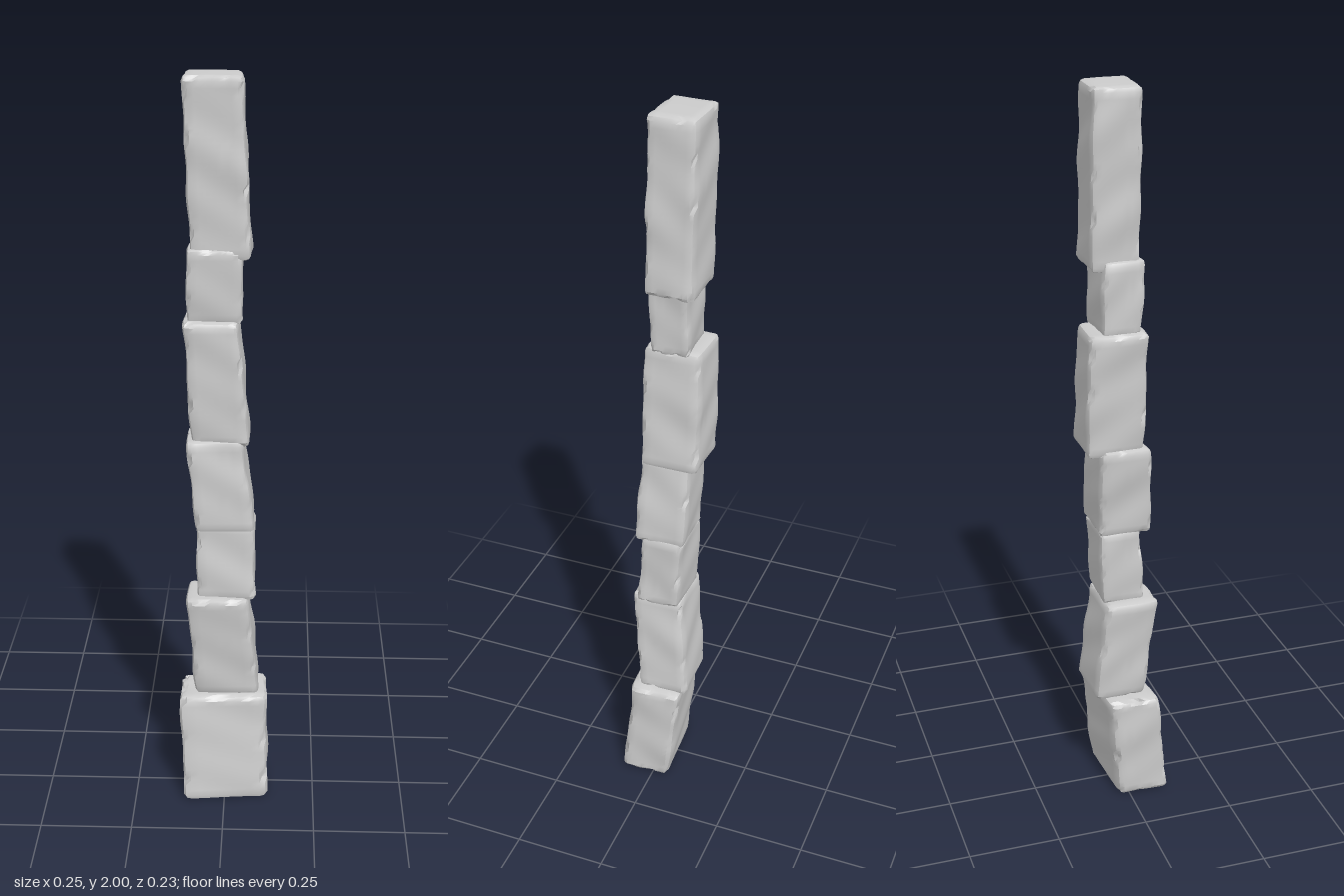
import * as THREE from 'three';
import { toCreasedNormals } from 'three/addons/utils/BufferGeometryUtils.js';

// Each stone: [y0, y1, bottom [x0, x1, z0, z1], top [x0, x1, z0, z1], skew of z along x]
const STONES = [
  ['baseStone', 0.0, 0.312, [-0.112, 0.122, -0.04, 0.105], [-0.127, 0.115, -0.072, 0.075], -0.09],
  ['secondStone', 0.305, 0.61, [-0.082, 0.095, -0.093, 0.05], [-0.105, 0.065, -0.066, 0.083], -0.03],
  ['thirdStone', 0.6, 0.82, [-0.076, 0.082, -0.064, 0.055], [-0.08, 0.08, -0.074, 0.043], 0.03],
  ['fourthStone', 0.805, 1.06, [-0.077, 0.082, -0.077, 0.068], [-0.105, 0.047, -0.08, 0.06], -0.04],
  ['fifthStone', 1.042, 1.382, [-0.09, 0.066, -0.111, 0.048], [-0.11, 0.035, -0.106, 0.052], 0.03],
  ['sixthStone', 1.37, 1.57, [-0.1, 0.043, -0.074, 0.03], [-0.1, 0.047, -0.07, 0.042], -0.04],
  ['topStone', 1.54, 2.0, [-0.09, 0.068, -0.096, 0.034], [-0.11, 0.044, -0.095, 0.034], 0.04],
];

// Smooth repeatable wobble in the range -1..1
const wobble = (x, y, z, s) =>
  (Math.sin(23 * x + 31 * y + s * 1.7) + Math.sin(37 * z - 22 * y + s * 2.9) + Math.sin(29 * (x - z) + 47 * y + s)) / 3;

// Moves the grid lines so the outermost cell is exactly as wide as the worn edge
function gridLine(p, half, r, n) {
  const k = Math.round((p / half) * (n / 2));
  return Math.abs(k) === n / 2 ? Math.sign(k) * half : (k / (n / 2 - 1)) * (half - r);
}

// A worn block: rounded edges, leaning between two rectangles, uneven faces, nicked edges
function stoneGeometry(y0, y1, bottom, top, skew, seed) {
  const h = y1 - y0;
  const ny = 2 * Math.round(h * 26) + 4;
  const size = [0.15, h, 0.14], segs = [10, ny, 10], r = 0.014;
  const geo = new THREE.BoxGeometry(...size, ...segs);
  const pos = geo.attributes.position;
  const p = new THREE.Vector3(), inner = new THREE.Vector3(), d = new THREE.Vector3();
  for (let i = 0; i < pos.count; i++) {
    p.fromBufferAttribute(pos, i);
    let outer = 0;
    ['x', 'y', 'z'].forEach((a, k) => {
      const half = size[k] / 2;
      p[a] = gridLine(p[a], half, r, segs[k]);
      inner[a] = THREE.MathUtils.clamp(p[a], r - half, half - r);
      if (Math.abs(p[a]) > half - 1e-6) outer++;
    });
    // Round the edge, then chip it here and there
    d.subVectors(p, inner).normalize();
    const nick = outer > 1 ? Math.max(0, wobble(p.x * 3, p.y * 2.3, p.z * 3, seed + 4) - 0.25) * 0.014 : 0;
    p.copy(inner).addScaledVector(d, r - nick);
    const bump = wobble(p.x, p.y, p.z, seed) * 0.004 - 0.001;
    // Fit between the bottom and top rectangles
    const t = p.y / h + 0.5, u = p.x / size[0] + 0.5, v = p.z / size[2] + 0.5;
    const e = bottom.map((b, k) => THREE.MathUtils.lerp(b, top[k], t));
    const x = THREE.MathUtils.lerp(e[0], e[1], u);
    const z = THREE.MathUtils.lerp(e[2], e[3], v) + skew * (x - (e[0] + e[1]) / 2);
    pos.setXYZ(i, x + d.x * bump, y0 + t * h + d.y * Math.min(0, bump) * 0.5, z + d.z * bump);
  }
  return toCreasedNormals(geo, 0.6);
}

export function createModel() {
  const group = new THREE.Group();
  group.name = 'stonePillar';
  const material = new THREE.MeshStandardMaterial({ color: 0xcccccc });
  STONES.forEach(([name, y0, y1, bottom, top, skew], i) => {
    const mesh = new THREE.Mesh(stoneGeometry(y0, y1, bottom, top, skew, i * 2.3 + 1), material);
    mesh.name = name;
    group.add(mesh);
  });
  return group;
}
